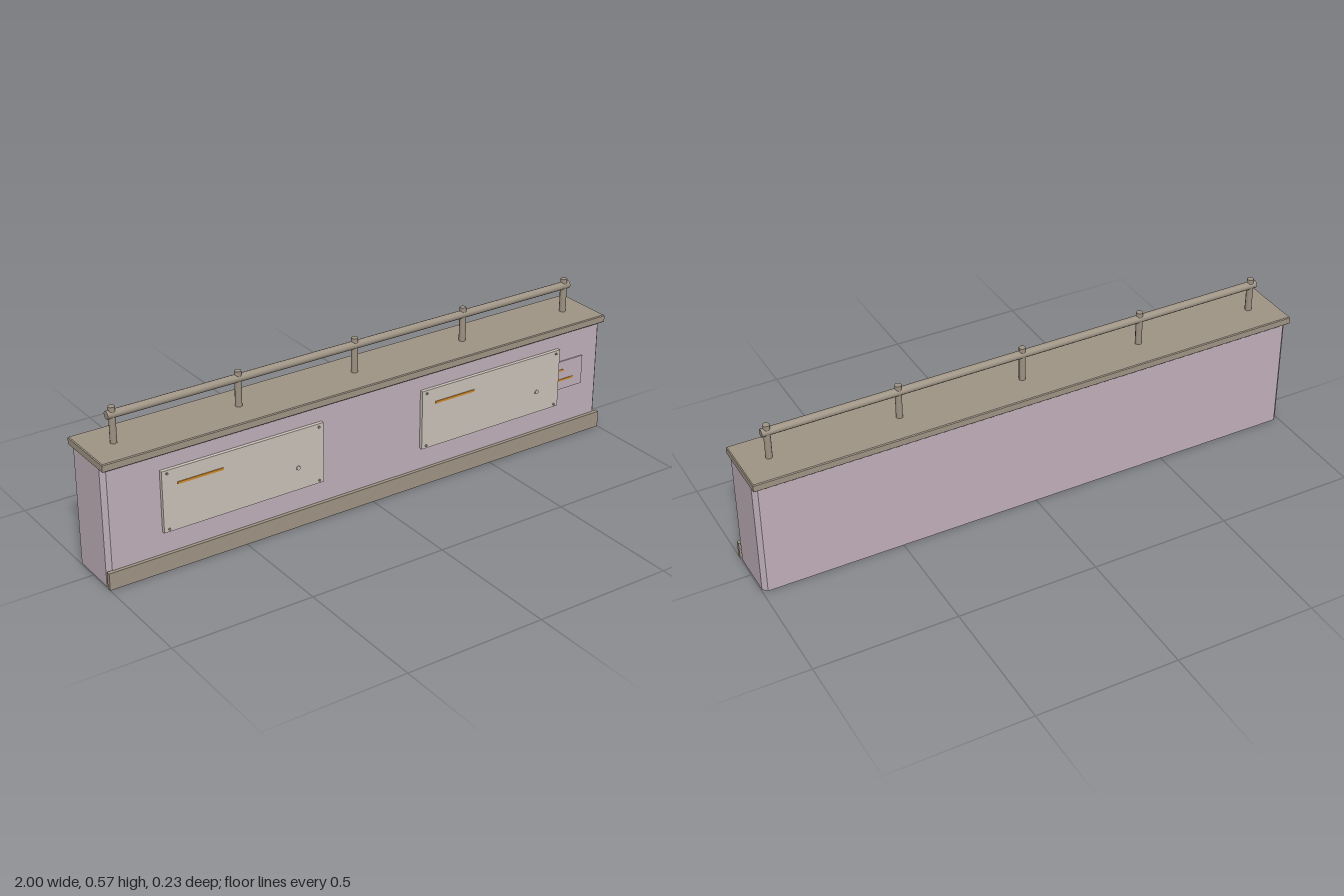
import * as THREE from 'three';

const mat = (name, color) => {
  const m = new THREE.MeshStandardMaterial({ color });
  m.name = name;
  return m;
};

export function createModel() {
  const root = new THREE.Group();
  root.name = 'barrier';
  const mauve = mat('mauve wall', 0xbfaeb8);
  const taupe = mat('taupe trim', 0x9e9384);
  const pale = mat('pale panel', 0xc8c0b8);
  const orange = mat('orange stripe', 0xd08a2c);

  const add = (name, geo, material, x = 0, y = 0, z = 0, parent = root) => {
    const mesh = new THREE.Mesh(geo, material);
    mesh.name = name;
    mesh.position.set(x, y, z);
    parent.add(mesh);
    return mesh;
  };
  // Box given by its limits on each axis
  const box = (name, material, x0, x1, y0, y1, z0, z1, parent = root) =>
    add(name, new THREE.BoxGeometry(x1 - x0, y1 - y0, z1 - z0), material,
      (x0 + x1) / 2, (y0 + y1) / 2, (z0 + z1) / 2, parent);

  // Upright slab whose corners are cut in plan
  const slab = (w, d, c, h, bevel = 0) => {
    const x = w - bevel, z = d - bevel;
    const pts = c > 0
      ? [[x - c, -z], [x, c - z], [x, z - c], [x - c, z], [c - x, z], [-x, z - c], [-x, c - z], [c - x, -z]]
      : [[x, -z], [x, z], [-x, z], [-x, -z]];
    const geo = new THREE.ExtrudeGeometry(new THREE.Shape(pts.map(p => new THREE.Vector2(...p))), {
      depth: h - 2 * bevel, bevelEnabled: bevel > 0, bevelSize: bevel, bevelThickness: bevel, bevelSegments: 1,
    });
    return geo.translate(0, 0, bevel).rotateX(-Math.PI / 2);
  };

  // Wall, cap and front kickboard
  add('wall', slab(0.997, 0.1, 0.015, 0.42), mauve);
  add('cap', slab(1, 0.114, 0, 0.028, 0.003), taupe, 0, 0.415, 0);
  box('kickboard', taupe, -1, 1, 0, 0.06, 0.098, 0.113);

  // Handrail on five posts
  const rail = new THREE.Group();
  rail.name = 'handrail';
  root.add(rail);
  add('railBar', new THREE.CylinderGeometry(0.014, 0.014, 1.84, 12).rotateZ(Math.PI / 2), taupe, 0, 0.541, 0, rail);
  for (let i = -2; i <= 2; i++) {
    add('railPost', new THREE.CylinderGeometry(0.012, 0.012, 0.128, 8), taupe, i * 0.45, 0.503, 0, rail);
  }

  // Two bolted front panels, each with a stripe and a small latch
  for (const cx of [-0.5, 0.5]) {
    const panel = new THREE.Group();
    panel.name = 'frontPanel';
    panel.position.x = cx;
    root.add(panel);
    box('panelPlate', pale, -0.3, 0.3, 0.14, 0.358, 0.099, 0.113, panel);
    box('panelStripe', orange, -0.245, -0.08, 0.3, 0.308, 0.112, 0.116, panel);
    add('panelLatch', new THREE.CylinderGeometry(0.008, 0.008, 0.005, 6).rotateX(Math.PI / 2),
      pale, 0.2, 0.221, 0.1145, panel);
    for (const x of [-0.282, 0.282]) {
      for (const y of [0.15, 0.347]) {
        add('bolt', new THREE.CylinderGeometry(0.004, 0.004, 0.006, 8).rotateX(Math.PI / 2),
          taupe, x, y, 0.1145, panel);
      }
    }
  }

  // Small side plate tucked behind the right panel
  box('sidePlate', mauve, 0.72, 0.915, 0.195, 0.304, 0.099, 0.104);
  box('sideStripe', orange, 0.76, 0.83, 0.266, 0.273, 0.103, 0.106);
  box('sideStripe', orange, 0.76, 0.872, 0.228, 0.235, 0.103, 0.106);

  return root;
}
